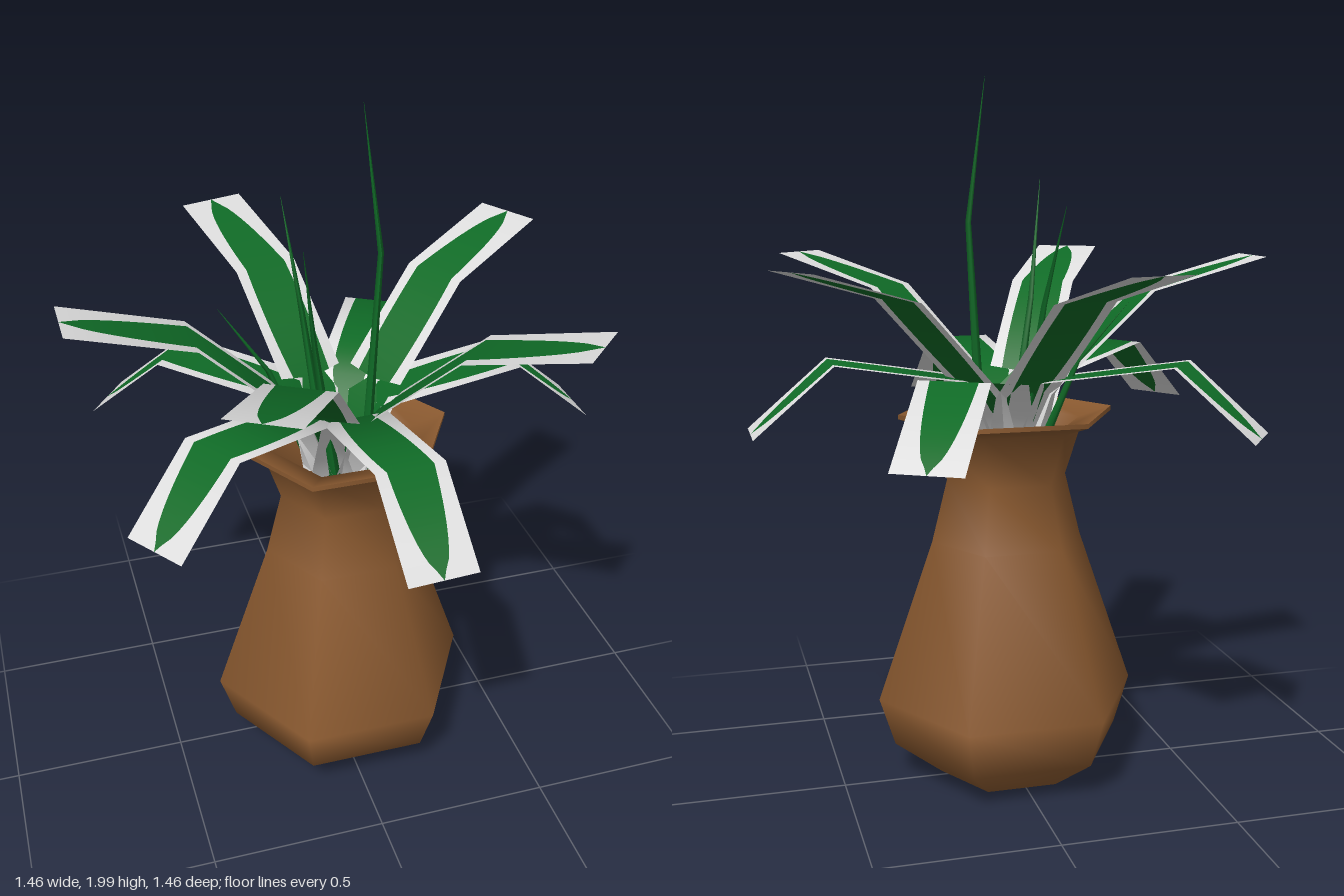
import * as THREE from 'three';

const mat = (name, color, side = THREE.FrontSide) => {
  const m = new THREE.MeshStandardMaterial({ color, side });
  m.name = name;
  return m;
};
const clay = mat('clay brown', 0x8b5a30);
const leafGreen = mat('leaf green', 0x0f6a26, THREE.DoubleSide);
const margin = mat('pale leaf margin', 0xdcdcdc, THREE.DoubleSide);
const darkGreen = mat('dark green', 0x0e4016, THREE.DoubleSide);

const HALF_WIDTH = 0.095;
const ROWS_PER_SEGMENT = 12;

// Bent strip along +x with a green ellipse inside a pale margin; profile is [radius, height].
function leafGeometry(profile, ellipseStart) {
  const pts = profile.map(([r, y]) => new THREE.Vector2(r, y));
  const segNormals = pts.slice(1).map((p, i) => {
    const d = p.clone().sub(pts[i]).normalize();
    return new THREE.Vector2(-d.y, d.x);
  });
  const ptNormals = pts.map((_, i) => {
    const a = segNormals[Math.max(i - 1, 0)];
    const b = segNormals[Math.min(i, segNormals.length - 1)];
    return a.clone().add(b).normalize();
  });
  const lengths = pts.slice(1).map((p, i) => p.distanceTo(pts[i]));
  const total = lengths.reduce((a, b) => a + b, 0);

  const position = [], normal = [];
  let rows = 0, walked = 0;
  lengths.forEach((len, s) => {
    const last = s === lengths.length - 1;
    for (let i = 0; i < ROWS_PER_SEGMENT + (last ? 1 : 0); i++) {
      const t = i / ROWS_PER_SEGMENT;
      const p = pts[s].clone().lerp(pts[s + 1], t);
      const n = ptNormals[s].clone().lerp(ptNormals[s + 1], t).normalize();
      const f = (walked + len * t) / total;
      const u = ((f - ellipseStart) / (0.98 - ellipseStart)) * 2 - 1;
      const e = 0.066 * Math.sqrt(Math.max(0, 1 - u * u));
      for (const z of [-HALF_WIDTH, -e, e, HALF_WIDTH]) {
        position.push(p.x, p.y, z);
        normal.push(n.x, n.y, 0);
      }
      rows++;
    }
    walked += len;
  });

  const geo = new THREE.BufferGeometry();
  const index = [];
  [[0, 1], [2, 1], [1, 0]].forEach(([col, material]) => {
    const start = index.length;
    for (let i = 0; i < rows - 1; i++) {
      const a = i * 4 + col, c = a + 4;
      index.push(a, a + 1, c, a + 1, c + 1, c);
    }
    geo.addGroup(start, index.length - start, material);
  });
  geo.setAttribute('position', new THREE.Float32BufferAttribute(position, 3));
  geo.setAttribute('normal', new THREE.Float32BufferAttribute(normal, 3));
  geo.setIndex(index);
  return geo;
}

// Thin pointed shoot passing through base, middle and tip.
function shootGeometry(base, mid, tip) {
  const path = [base, mid, tip];
  const geo = new THREE.CylinderGeometry(0.0005, 0.016, 1, 4, 2, true);
  const pos = geo.attributes.position;
  for (let i = 0; i < pos.count; i++) {
    const c = path[Math.round((pos.getY(i) + 0.5) * 2)];
    pos.setXYZ(i, pos.getX(i) + c[0], c[1], pos.getZ(i) + c[2]);
  }
  geo.computeVertexNormals();
  return geo;
}

export function createModel() {
  const model = new THREE.Group();
  const add = (parent, name, geo, material) => {
    const m = new THREE.Mesh(geo, material);
    m.name = name;
    parent.add(m);
    return m;
  };

  // Six-sided vase
  const vase = new THREE.Group();
  vase.name = 'vase';
  vase.position.set(0.012, 0, 0.025);
  model.add(vase);
  const hexLathe = (profile) => new THREE.LatheGeometry(
    profile.map(([r, y]) => new THREE.Vector2(r, y)), 6, Math.PI / 2);
  add(vase, 'vaseBody', hexLathe([
    [0.2, 0], [0.335, 0.1], [0.38, 0.24], [0.22, 0.7],
    [0.175, 0.88], [0.225, 1.03], [0.312, 1.06],
  ]), clay);
  add(vase, 'vaseRim', hexLathe([[0.312, 1.06], [0.312, 1.073]]), clay);
  add(vase, 'vaseInside', hexLathe([
    [0.312, 1.073], [0.215, 1.045], [0.16, 0.88], [0.2, 0.7], [0, 0.68],
  ]), clay);
  add(vase, 'vaseBottom', new THREE.CircleGeometry(0.2, 6).rotateX(Math.PI / 2), clay);

  // Two tiers of arching leaves
  const plant = new THREE.Group();
  plant.name = 'plant';
  plant.position.set(0.012, 0, 0.01);
  model.add(plant);
  const tiers = [
    {
      name: 'upperLeaf', start: 0.03, angles: [-105, -30, 45, 120, 180],
      profile: [[0.03, 0.93], [0.1, 1.13], [0.4, 1.41], [0.735, 1.5]],
    },
    {
      name: 'lowerLeaf', start: 0.16, angles: [-60, 0, 86, 146, -145],
      profile: [[0.03, 0.93], [0.13, 1.17], [0.5, 1.23], [0.72, 1.04]],
    },
  ];
  for (const { name, start, angles, profile } of tiers) {
    const geo = leafGeometry(profile, start);
    for (const deg of angles) {
      add(plant, name, geo, [leafGreen, margin]).rotation.y = -THREE.MathUtils.degToRad(deg);
    }
  }

  // Central stem and upright shoots
  add(plant, 'stem', new THREE.CylinderGeometry(0.06, 0.05, 0.36, 6).translate(0, 0.86, 0), darkGreen);
  const shoots = [
    [[0.075, 0.95, 0.06], [0.115, 1.6, 0.05], [0.075, 1.99, 0.015]],
    [[-0.02, 0.95, 0.09], [-0.085, 1.38, 0.12], [-0.15, 1.72, 0.255]],
    [[-0.01, 0.95, -0.05], [-0.055, 1.38, -0.12], [-0.065, 1.65, -0.29]],
    [[-0.06, 0.95, -0.04], [-0.16, 1.22, -0.09], [-0.28, 1.39, -0.17]],
  ];
  for (const s of shoots) add(model, 'shoot', shootGeometry(...s), leafGreen);

  return model;
}
